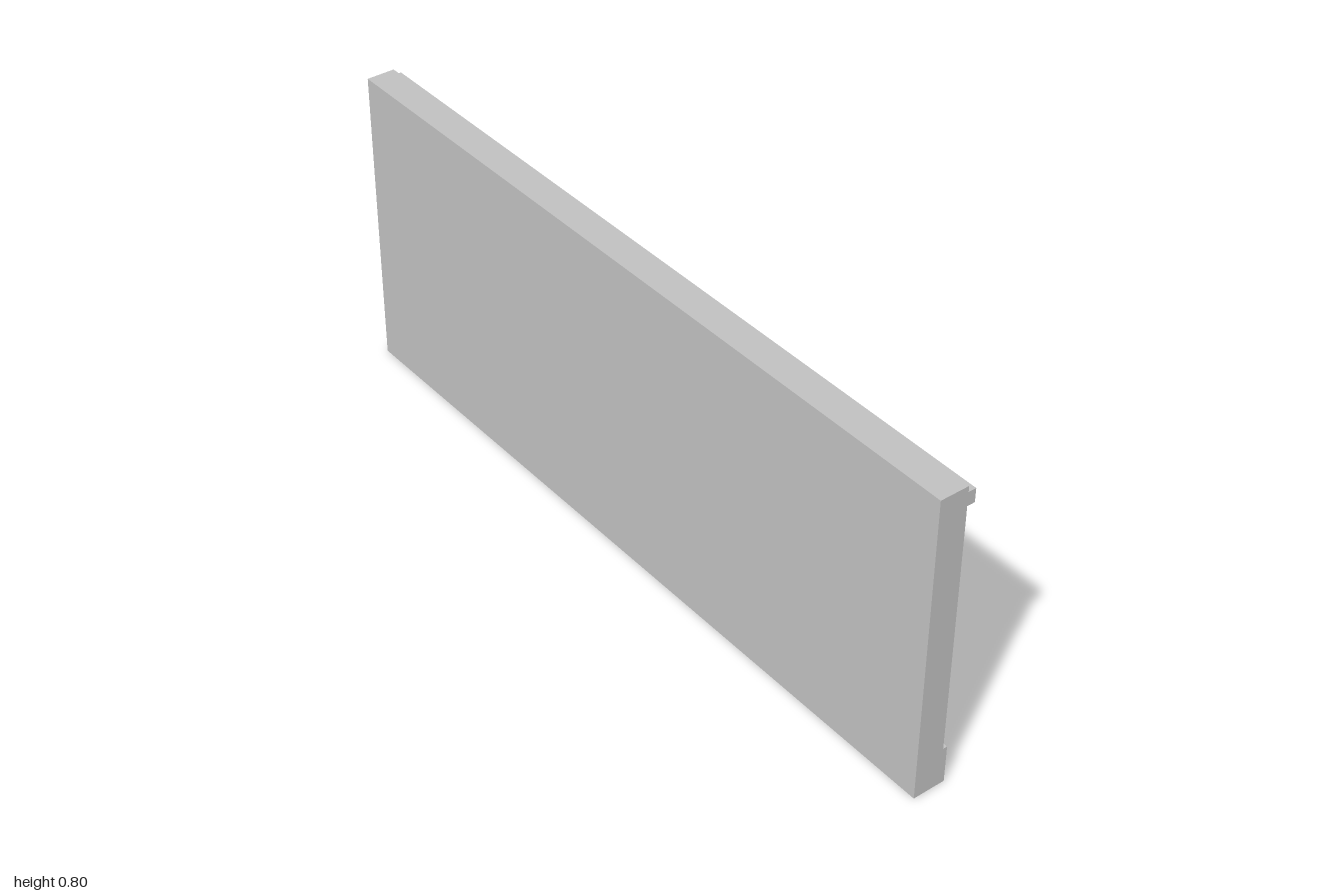
import * as THREE from 'three';

export function createModel() {
  const group = new THREE.Group();
  const plaster = new THREE.MeshStandardMaterial({ color: 0xc0c0c0 });
  plaster.name = 'plaster grey';

  // Box given by its extents on each axis
  function addBox(name, [x0, x1], [y0, y1], [z0, z1]) {
    const mesh = new THREE.Mesh(new THREE.BoxGeometry(x1 - x0, y1 - y0, z1 - z0), plaster);
    mesh.position.set((x0 + x1) / 2, (y0 + y1) / 2, (z0 + z1) / 2);
    mesh.name = name;
    group.add(mesh);
  }

  const wallBack = -0.021;
  const post = [0.148, 0.296];

  // Main slab
  addBox('wallPanel', [-1, 1], [0, 0.8], [wallBack, 0.0525]);
  // Full-width moulding just under the top edge
  addBox('topRail', [-1, 1], [0.75, 0.785], [-0.041, wallBack]);
  // Upright pilaster
  addBox('post', post, [0, 0.75], [-0.0525, wallBack]);
  // Skirting on either side of the post
  addBox('rightBaseboard', [-1, post[0]], [0, 0.1], [-0.032, wallBack]);
  addBox('leftBaseboard', [post[1], 1], [0, 0.1], [-0.032, wallBack]);

  return group;
}
